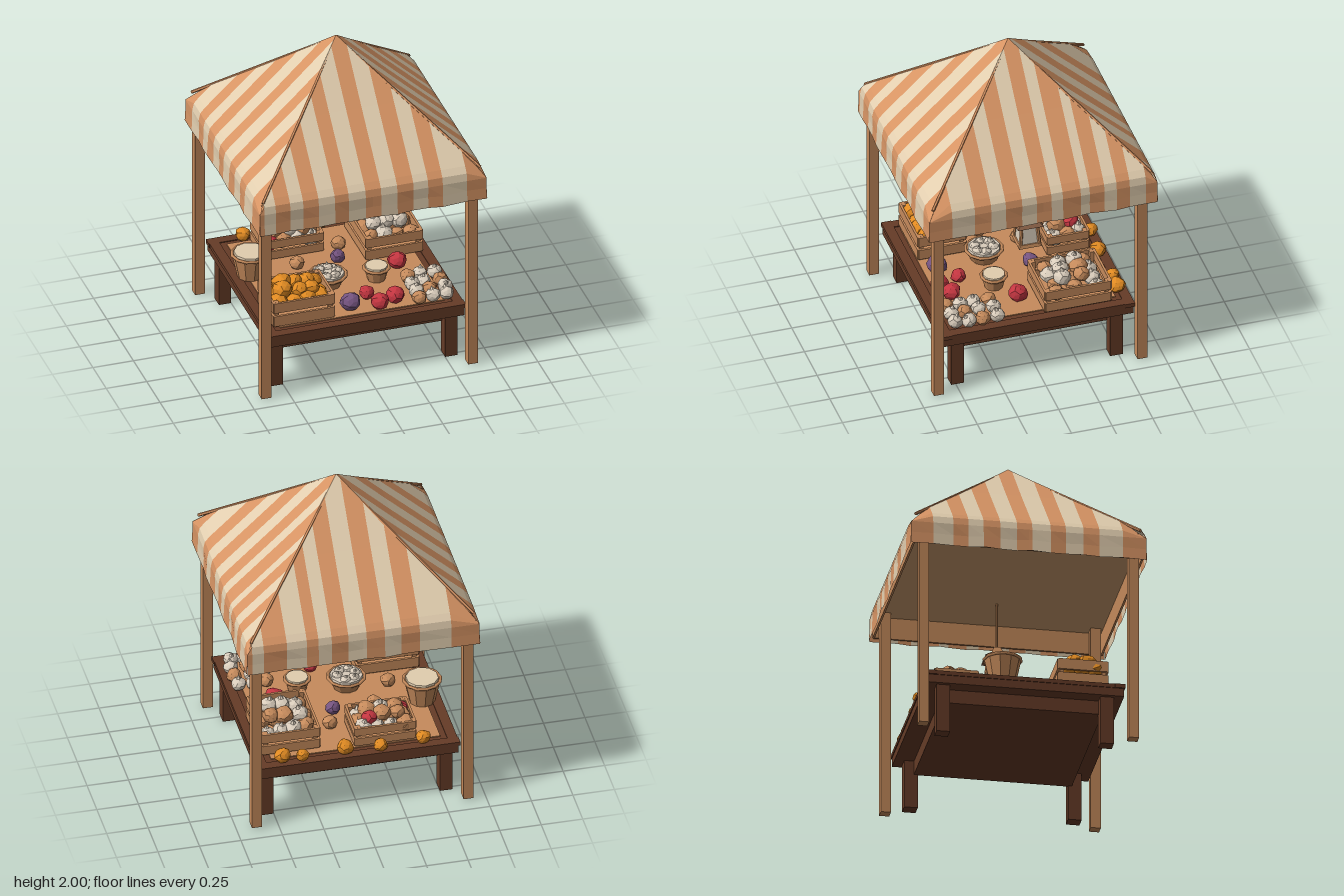
import * as THREE from 'three';

const mat = (name, color, side = THREE.FrontSide) => Object.assign(new THREE.MeshStandardMaterial({ color, side }), { name });
const M = {
  stripe: mat('orange stripe cloth', 0xd79464, THREE.DoubleSide),
  cream: mat('cream cloth', 0xe2ceaf, THREE.DoubleSide),
  wood: mat('light wood', 0xc68b5c),
  dark: mat('dark wood', 0x663c27),
  lining: mat('canopy lining', 0xcf9f70),
  orange: mat('orange produce', 0xe08a22),
  white: mat('garlic white', 0xd9ccbb),
  red: mat('red produce', 0xc43641),
  purple: mat('purple produce', 0x755480),
  iron: mat('lantern brown', 0x855d44),
};

let seed = 7;
const rnd = () => (seed = (seed * 16807) % 2147483647) / 2147483647;

function add(parent, name, geo, material, x = 0, y = 0, z = 0) {
  const m = new THREE.Mesh(geo, material);
  m.name = name;
  m.position.set(x, y, z);
  parent.add(m);
  return m;
}
const box = (parent, name, material, w, h, d, x, y, z) =>
  add(parent, name, new THREE.BoxGeometry(w, h, d), material, x, y, z);

function group(parent, name, x = 0, y = 0, z = 0, turn = 0) {
  const g = new THREE.Group();
  g.name = name;
  g.position.set(x, y, z);
  g.rotation.y = turn;
  parent.add(g);
  return g;
}

function flat(geo) {
  const g = geo.index ? geo.toNonIndexed() : geo;
  g.computeVertexNormals();
  return g;
}

// Straight bar between two points
function bar(parent, name, material, a, b, r) {
  const A = new THREE.Vector3(...a), B = new THREE.Vector3(...b);
  const m = add(parent, name, flat(new THREE.CylinderGeometry(r, r, A.distanceTo(B), 6)), material);
  m.position.copy(A).add(B).multiplyScalar(0.5);
  m.quaternion.setFromUnitVectors(new THREE.Vector3(0, 1, 0), B.sub(A).normalize());
}

// ---- Canopy: each side is a row of cloth strips that run from hip to hem ----
const profile = [[0, 2], [0.33, 1.68], [0.66, 1.37], [0.69, 1.335], [0.7, 1.29], [0.7, 1.22], [0.704, 1.15]];

// Stripe edges of the front, left, back and right sides; strips alternate orange and cream
const stripeEdges = [
  [-0.7, -0.67, -0.6, -0.51, -0.43, -0.335, -0.235, -0.15, -0.045, 0.05, 0.15, 0.25, 0.34, 0.43, 0.58, 0.7],
  [-0.7, -0.56, -0.42, -0.32, -0.23, -0.13, -0.04, 0.05, 0.12, 0.23, 0.285, 0.375, 0.45, 0.53, 0.63, 0.7],
  [-0.7, -0.67, -0.6, -0.46, -0.34, -0.27, -0.19, -0.09, 0.02, 0.13, 0.23, 0.34, 0.53, 0.7],
  [-0.7, -0.57, -0.45, -0.36, -0.27, -0.17, -0.07, 0.02, 0.13, 0.22, 0.325, 0.42, 0.56, 0.7],
];

function roofPoint(u, i) {
  let [d, y] = profile[i];
  const a = Math.abs(u);
  if (d < a) { // clip the strip at the hip
    const k = profile.findIndex(p => p[0] >= a);
    const [d0, y0] = profile[k - 1], [d1, y1] = profile[k];
    y = y0 + (y1 - y0) * (a - d0) / (d1 - d0);
    d = a;
  }
  if (i > 4) { // soft folds along the hem
    const fade = Math.min(1, (0.7 - a) * 6);
    d += 0.004 * fade * Math.sin(u * 17);
    y += 0.004 * fade * Math.sin(u * 23 + 1);
  }
  return [u, y, d];
}

function stripGeometry(u0, u1) {
  const v = [];
  for (let i = 0; i < profile.length - 1; i++) {
    const a = roofPoint(u0, i), b = roofPoint(u1, i), c = roofPoint(u0, i + 1), e = roofPoint(u1, i + 1);
    v.push(...a, ...c, ...e, ...a, ...e, ...b);
  }
  const g = new THREE.BufferGeometry();
  g.setAttribute('position', new THREE.Float32BufferAttribute(v, 3));
  return flat(g);
}

function buildCanopy(root) {
  const canopy = group(root, 'canopy');
  stripeEdges.forEach((edges, k) => {
    const side = group(canopy, 'canopySide', 0, 0, 0, k * Math.PI / 2);
    for (let n = 0; n < edges.length - 1; n++) {
      const lo = edges[n], hi = edges[n + 1];
      const cuts = lo < 0 && hi > 0 ? [lo, 0, hi] : [lo, hi];
      for (let c = 0; c < cuts.length - 1; c++)
        add(side, 'clothStripe', stripGeometry(cuts[c], cuts[c + 1]), n % 2 ? M.cream : M.stripe);
    }
    // inner rail behind the hem and seam along the hip
    box(side, 'innerRail', M.wood, 1.36, 0.14, 0.012, 0, 1.235, 0.68);
    bar(side, 'hipSeam', M.stripe, [0, 1.985, 0], [0.67, 1.352, 0.67], 0.01);
  });
  box(canopy, 'ceiling', M.lining, 1.37, 0.01, 1.37, 0, 1.305, 0);
}

// ---- Produce ----
const lumpGeo = (() => {
  const g = new THREE.IcosahedronGeometry(1, 1), p = g.attributes.position;
  for (let i = 0; i < p.count; i++) {
    const x = p.getX(i), y = p.getY(i), z = p.getZ(i), s = 1 + 0.08 * Math.sin(9 * x + 5 * y + 7 * z);
    p.setXYZ(i, x * s, y * s * 0.9, z * s);
  }
  return flat(g);
})();
const tipGeo = flat(new THREE.ConeGeometry(0.35, 0.5, 5));

function lump(parent, material, x, y, z, r) {
  const m = add(parent, 'produce', lumpGeo, material, x, y, z);
  m.scale.setScalar(r);
  m.rotation.set((rnd() - 0.5) * 0.6, rnd() * 6, (rnd() - 0.5) * 0.6);
  if (material === M.white) add(m, 'garlicTip', tipGeo, material, 0, 1, 0);
}

// Slatted crate with a heap of produce
function crate(root, name, x, z, w, d, h, kinds, r) {
  const g = group(root, name, x, 0.38, z);
  box(g, 'crateFloor', M.wood, w, 0.02, d, 0, 0.015, 0);
  for (const s of [-1, 1]) {
    for (const y of [0.27, 0.8]) {
      box(g, 'crateSlat', M.wood, w, h * 0.4, 0.014, 0, h * y, s * d / 2);
      box(g, 'crateSlat', M.wood, 0.014, h * 0.4, d, s * w / 2, h * y, 0);
    }
    for (const t of [-1, 1])
      box(g, 'cratePost', M.wood, 0.025, h, 0.025, s * (w / 2 - 0.02), h / 2, t * (d / 2 - 0.02));
  }
  for (const [nx, nz, y] of [[4, 3, h - 0.04], [3, 2, h + 0.02]])
    for (let i = 0; i < nx; i++)
      for (let j = 0; j < nz; j++)
        lump(g, kinds[Math.floor(rnd() * kinds.length)],
          (i - (nx - 1) / 2) * w * 0.23 + (rnd() - 0.5) * 0.02, y + (rnd() - 0.5) * 0.02,
          (j - (nz - 1) / 2) * d * 0.29 + (rnd() - 0.5) * 0.02, r * (0.85 + rnd() * 0.3));
}

// Open basket with a pale filling
function basket(root, x, z, r, h, fill) {
  const g = group(root, 'basket', x, 0.38, z);
  add(g, 'basketBody', flat(new THREE.CylinderGeometry(r, r * 0.7, h, 10)), M.wood, 0, h / 2, 0);
  const rim = add(g, 'basketRim', new THREE.TorusGeometry(r, 0.01, 5, 12), M.wood, 0, h, 0);
  rim.rotation.x = Math.PI / 2;
  add(g, 'basketFilling', flat(new THREE.CylinderGeometry(r * 0.88, r * 0.9, 0.02, 10)), fill, 0, h + 0.006, 0);
  return g;
}

// ---- Table ----
function buildTable(root) {
  const t = group(root, 'table');
  box(t, 'tableTop', M.dark, 1.2, 0.07, 1.17, 0, 0.34, 0);
  box(t, 'tablePanel', M.wood, 1.02, 0.008, 1.0, 0, 0.377, 0);
  box(t, 'tableApron', M.dark, 1.02, 0.09, 0.94, 0, 0.265, 0);
  for (const s of [-1, 1]) {
    box(t, 'tableEdge', M.dark, 1.22, 0.025, 0.06, 0, 0.368, s * 0.56);
    box(t, 'tableEdge', M.dark, 0.06, 0.025, 1.18, s * 0.575, 0.368, 0);
    for (const u of [-1, 1])
      box(t, 'tableLeg', M.dark, 0.075, 0.31, 0.08, s * 0.538, 0.16, u * 0.488);
  }
}

// ---- Hanging lantern: four-sided, with pale panes in a brown frame ----
function buildLantern(root) {
  const l = group(root, 'lantern', 0.375, 0, 0);
  const frustum = (name, material, top, bottom, h, y) => { // half widths of a square section
    const g = new THREE.CylinderGeometry(top * Math.SQRT2, bottom * Math.SQRT2, h, 4);
    add(l, name, flat(g), material, 0, y, 0).rotation.y = Math.PI / 4;
  };
  bar(l, 'lanternCord', M.wood, [0, 1.01, 0], [0, 1.31, 0], 0.008);
  frustum('lanternCap', M.iron, 0.03, 0.08, 0.045, 0.957);
  frustum('lanternTop', M.wood, 0.02, 0.035, 0.04, 0.995);
  frustum('lanternGlass', M.white, 0.046, 0.058, 0.14, 0.87);
  frustum('lanternBase', M.wood, 0.064, 0.069, 0.022, 0.801);
  for (const x of [-1, 1])
    for (const z of [-1, 1])
      bar(l, 'lanternRib', M.wood, [x * 0.059, 0.8, z * 0.059], [x * 0.047, 0.94, z * 0.047], 0.011);
}

export function createModel() {
  const root = new THREE.Group();
  root.name = 'marketStall';
  buildCanopy(root);
  for (const x of [-0.645, 0.63])
    for (const z of [-0.62, 0.63])
      box(root, 'cornerPost', M.wood, 0.06, 1.32, 0.06, x, 0.67, z);
  buildTable(root);
  buildLantern(root);

  // crates and baskets
  crate(root, 'orangeCrate', -0.36, 0.35, 0.37, 0.29, 0.165, [M.orange], 0.055);
  crate(root, 'garlicCrate', 0.38, -0.26, 0.34, 0.4, 0.15, [M.white, M.white, M.wood], 0.05);
  crate(root, 'mixedCrate', -0.18, -0.37, 0.36, 0.25, 0.13, [M.wood, M.red, M.wood, M.white], 0.05);
  basket(root, -0.49, -0.12, 0.11, 0.15, M.cream);
  const bowl = basket(root, -0.09, 0.12, 0.11, 0.07, M.white);
  for (let i = 0; i < 6; i++) lump(bowl, M.white, Math.cos(i) * 0.055, 0.08, Math.sin(i) * 0.055, 0.033);
  basket(root, 0.2, 0.15, 0.075, 0.08, M.cream);

  // loose produce on the table
  const loose = [
    [M.purple, -0.05, 0.42, 0.062], [M.purple, 0.05, -0.12, 0.045],
    [M.red, 0.12, 0.46, 0.055], [M.red, 0.23, 0.42, 0.055], [M.red, 0.08, 0.33, 0.045], [M.red, 0.36, 0.05, 0.058],
    [M.orange, 0.45, -0.53, 0.05], [M.orange, 0.33, -0.54, 0.04], [M.orange, 0.07, -0.53, 0.05],
    [M.orange, -0.14, -0.55, 0.042], [M.orange, -0.4, -0.53, 0.045],
    [M.wood, 0.1, -0.26, 0.045], [M.wood, -0.2, -0.12, 0.045], [M.wood, -0.33, 0.08, 0.045],
  ];
  for (const [m, x, z, r] of loose) lump(root, m, x, 0.375 + r * 0.85, z, r);
  for (let i = 0; i < 3; i++)
    for (let j = 0; j < 4; j++)
      lump(root, (i + j) % 3 ? M.white : M.wood, 0.35 + i * 0.085 + rnd() * 0.02, 0.42, 0.22 + j * 0.088 + rnd() * 0.02, 0.045);
  return root;
}
